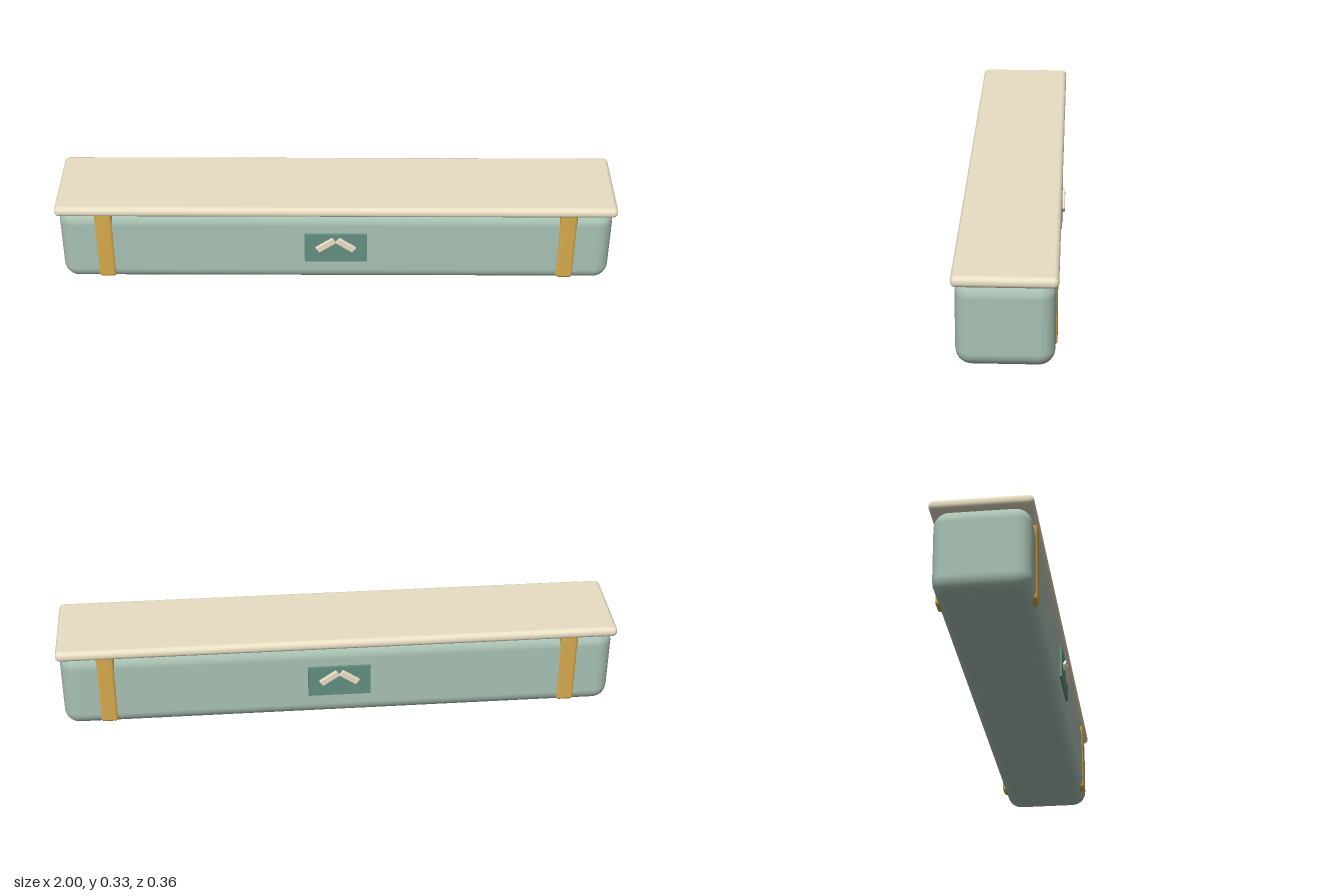
import * as THREE from 'three';
import { RoundedBoxGeometry } from 'three/addons/geometries/RoundedBoxGeometry.js';

const paint = (color) => new THREE.MeshStandardMaterial({ color });

export function createModel() {
  const group = new THREE.Group();
  const green = paint(0xa9c2b4);
  const cream = paint(0xe9dfc4);
  const gold = paint(0xd8aa4c);
  const darkGreen = paint(0x638f82);

  // Adds a box by size and centre, rounded when a radius is given
  function addBox(name, material, [w, h, d], [x, y, z], radius = 0, segments = 4) {
    const geometry = radius
      ? new RoundedBoxGeometry(w, h, d, segments, radius)
      : new THREE.BoxGeometry(w, h, d);
    const mesh = new THREE.Mesh(geometry, material);
    mesh.name = name;
    mesh.position.set(x, y, z);
    group.add(mesh);
    return mesh;
  }

  // Long rounded trunk and its overhanging slab lid
  addBox('body', green, [1.98, 0.3, 0.32], [0, 0.151, 0], 0.054, 4);
  addBox('lid', cream, [2, 0.038, 0.34], [0, 0.308, 0], 0.0175, 4);

  // Straps wrapped round the trunk near each end
  for (const side of [-1, 1]) {
    const name = side > 0 ? 'leftStrap' : 'rightStrap';
    addBox(name, gold, [0.064, 0.285, 0.33], [side * 0.828, 0.1625, 0], 0.013);
  }

  // Plate with two slanted bars meeting at a peak, on front and back
  for (const face of [-1, 1]) {
    const end = face > 0 ? 'front' : 'back';
    addBox(end + 'Plate', darkGreen, [0.224, 0.12, 0.02], [0, 0.157, face * 0.159]);
    for (const side of [-1, 1]) {
      const bar = addBox(end + 'Bar', cream, [0.075, 0.026, 0.018],
        [side * 0.036, 0.173, face * 0.169], 0.004, 2);
      bar.rotation.z = -side * 0.61;
    }
  }

  return group;
}
